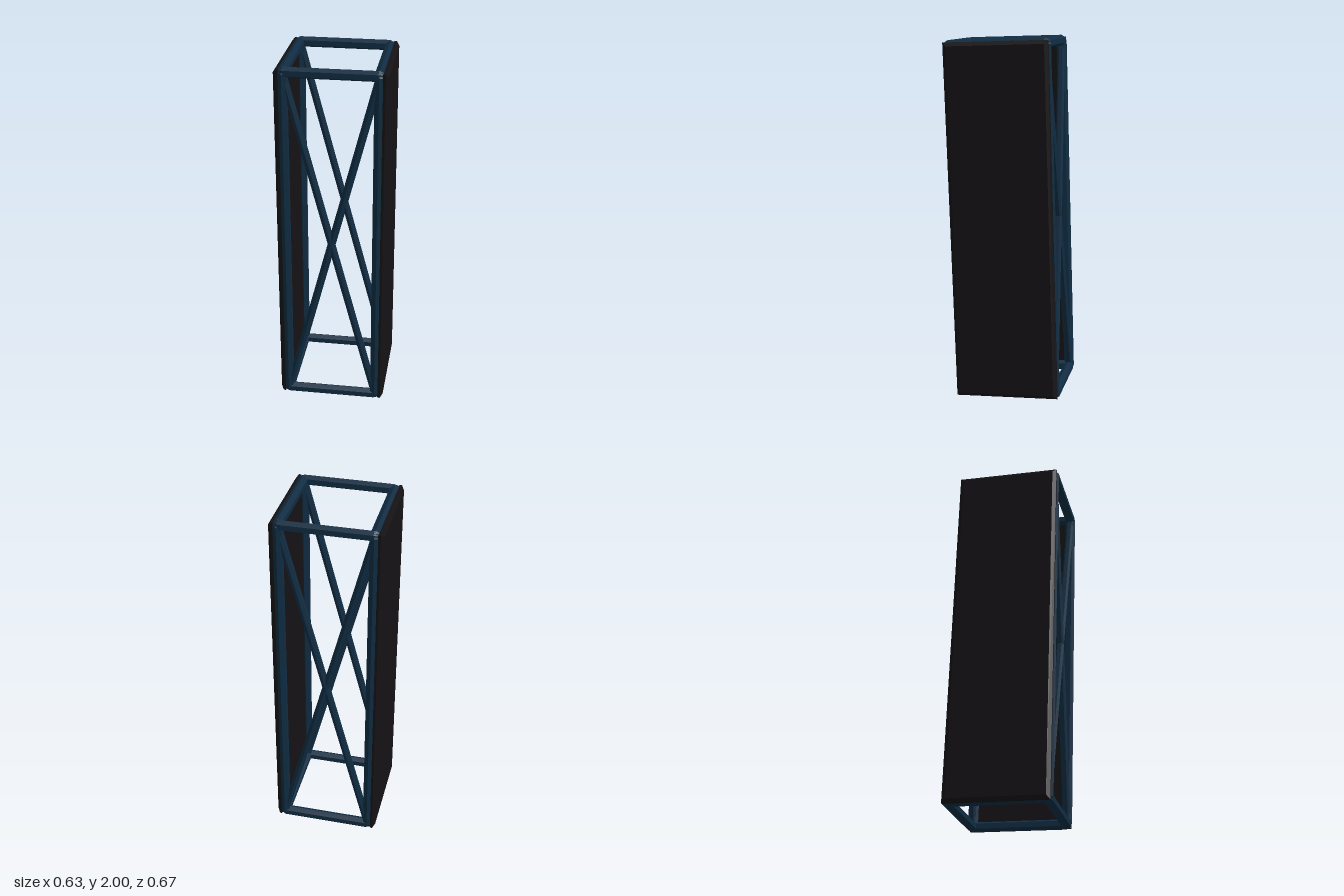
import * as THREE from 'three';

const X = 0.25, Y = 0.962, Z = 0.265; // corner centres of the frame

export function createModel() {
  const model = new THREE.Group();
  model.name = 'trussTower';
  const frame = new THREE.Group();
  frame.name = 'frame';
  model.add(frame);

  const steel = new THREE.MeshStandardMaterial({ color: 0x102c42, flatShading: true });
  const dark = new THREE.MeshStandardMaterial({ color: 0x141214, flatShading: true });

  // Six-sided bar with tapered ends, running from a to b
  function bar(name, a, b, r, phase = 0) {
    const from = new THREE.Vector3(...a), to = new THREE.Vector3(...b);
    const half = from.distanceTo(to) / 2;
    const profile = [
      [0, -half - 0.018], [r * 0.6, -half - 0.018], [r, -half + 0.004],
      [r, half - 0.004], [r * 0.6, half + 0.018], [0, half + 0.018],
    ].map(([x, y]) => new THREE.Vector2(x, y));
    const mesh = new THREE.Mesh(new THREE.LatheGeometry(profile, 6, phase), steel);
    mesh.name = name;
    mesh.position.copy(from).add(to).multiplyScalar(0.5);
    mesh.quaternion.setFromUnitVectors(new THREE.Vector3(0, 1, 0), to.sub(from).normalize());
    frame.add(mesh);
  }

  // Rails of the top and bottom rings, with a ridge on top
  for (const y of [-Y, Y]) {
    const level = y > 0 ? 'top' : 'bottom';
    for (const s of [-1, 1]) {
      bar(level + (s > 0 ? 'FrontRail' : 'BackRail'), [-X, y, s * Z], [X, y, s * Z], 0.029, Math.PI / 6);
      bar(level + (s > 0 ? 'LeftRail' : 'RightRail'), [s * X, y, -Z], [s * X, y, Z], 0.029);
    }
  }

  // Corner posts and crossed braces on the open front and back
  for (const s of [-1, 1]) {
    const face = s > 0 ? 'front' : 'back';
    for (const t of [-1, 1]) {
      bar(face + (t > 0 ? 'LeftPost' : 'RightPost'), [t * X, -Y, s * Z], [t * X, Y, s * Z], 0.029);
      bar(face + 'Brace', [-t * X, -Y, s * Z], [t * X, Y, s * Z], 0.021);
    }
  }

  // Bevelled panels closing the two sides
  const w = 0.265, h = 0.96;
  const outline = new THREE.Shape([[-w, -h], [w, -h], [w, h], [-w, h]].map((p) => new THREE.Vector2(...p)));
  const panelGeometry = new THREE.ExtrudeGeometry(outline, {
    depth: 0.012, bevelThickness: 0.015, bevelSize: 0.02, bevelSegments: 1,
  });
  panelGeometry.translate(0, 0, 0.27);
  for (const s of [-1, 1]) {
    const panel = new THREE.Mesh(panelGeometry, dark);
    panel.name = s > 0 ? 'leftPanel' : 'rightPanel';
    panel.rotation.y = s * Math.PI / 2;
    frame.add(panel);
  }

  // The whole tower stands slightly turned and leaning
  frame.rotation.set(0.032, 0.05, -0.005);
  frame.position.y = 1;
  return model;
}
